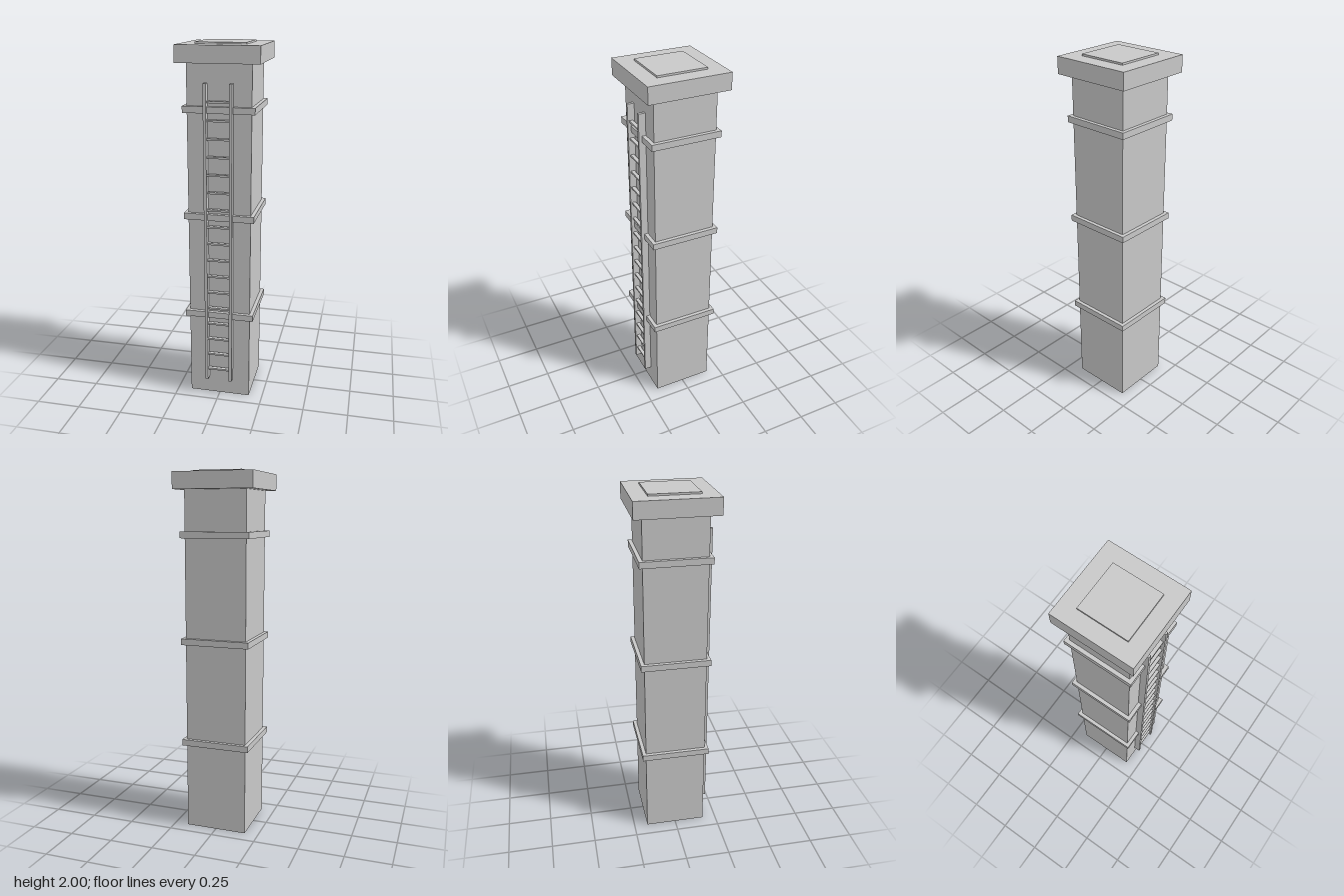
import * as THREE from 'three';

export function createModel() {
  const model = new THREE.Group();
  model.name = 'chimneyTower';
  const grey = new THREE.MeshStandardMaterial({ color: 0xc8c8c8 });
  grey.name = 'plain grey';

  // Box given by its size, centre x and z, and bottom height
  function addBox(parent, name, w, h, d, x, bottom, z) {
    const mesh = new THREE.Mesh(new THREE.BoxGeometry(w, h, d), grey);
    mesh.name = name;
    mesh.position.set(x, bottom + h / 2, z);
    parent.add(mesh);
  }

  // Square shaft, overhanging cap and raised top plate
  addBox(model, 'shaft', 0.345, 1.9, 0.345, 0, 0, 0);
  addBox(model, 'cap', 0.443, 0.09, 0.443, 0, 1.9, 0);
  addBox(model, 'topPlate', 0.27, 0.01, 0.27, 0, 1.99, 0);

  // Three bands around the shaft
  for (let i = 0; i < 3; i++) {
    addBox(model, 'band', 0.386, 0.035, 0.386, 0, 0.488 + i * 0.579, 0);
  }

  // Ladder on the front face
  const ladder = new THREE.Group();
  ladder.name = 'ladder';
  model.add(ladder);
  for (const side of [-1, 1]) {
    addBox(ladder, 'ladderRail', 0.016, 1.7, 0.038, side * 0.069, 0.1, 0.191);
  }
  for (let i = 0; i < 17; i++) {
    addBox(ladder, 'ladderRung', 0.126, 0.01, 0.02, 0, 0.16 + i * 0.0963, 0.192);
  }

  return model;
}
